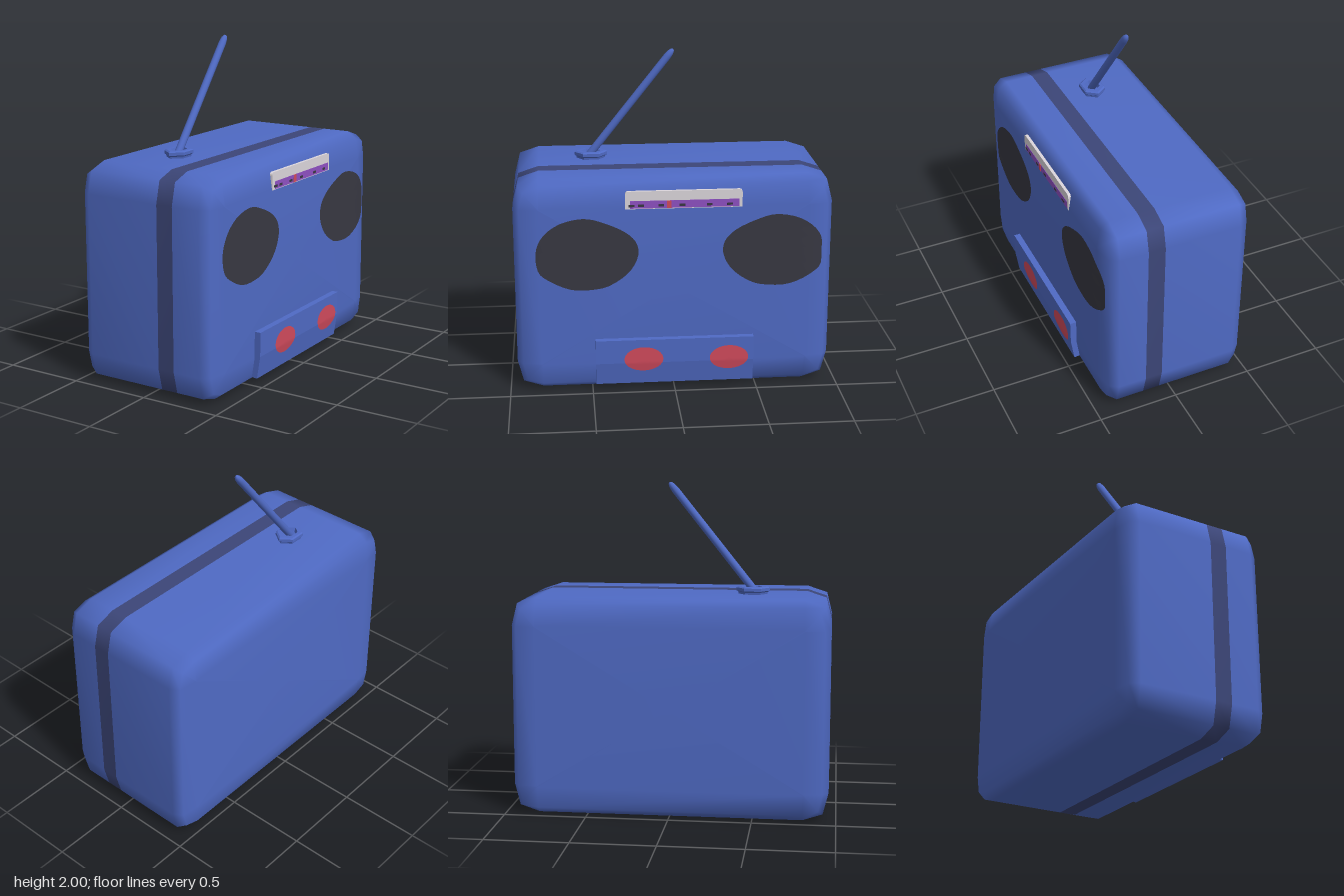
import * as THREE from 'three';

const mat = (name, color) => {
  const m = new THREE.MeshStandardMaterial({ color });
  m.name = name;
  return m;
};

const HZ = 0.955, HY = 0.6625, CZ = 0.155, CY = 0.175;

// One rounded-rectangle section of the case; k shrinks it towards its corner centres.
function section(k) {
  const hu = HZ - k * CZ, hy = HY - k * CY, cu = CZ * (1 - k), cy = CY * (1 - k);
  const corner = [[hu, hy - cy], [hu - cu * 0.22, hy - cy * 0.23], [hu - cu, hy]];
  const pts = [];
  for (const [su, sy] of [[1, 1], [-1, 1], [-1, -1], [1, -1]]) {
    const c = su * sy > 0 ? corner : [...corner].reverse();
    c.forEach(([u, y]) => pts.push([su * u, HY + sy * y]));
  }
  return pts;
}

// Case lofted along x; material 1 colours the stripe between rings 3 and 4.
function caseGeometry() {
  const rings = [[-0.475, 0.97], [-0.46, 0.23], [-0.405, 0], [0.077, 0],
    [0.183, 0], [0.36, 0], [0.415, 0.23], [0.435, 0.97]];
  const n = 12, pos = [], idx = [], g = new THREE.BufferGeometry();
  for (const [x, k] of rings) for (const [u, y] of section(k)) pos.push(x, y, -u);
  const back = pos.length / 3, front = back + 1, last = (rings.length - 1) * n;
  pos.push(-0.475, HY, 0, 0.435, HY, 0);
  for (let i = 0; i < rings.length - 1; i++) {
    const start = idx.length;
    for (let j = 0; j < n; j++) {
      const a = i * n + j, b = i * n + (j + 1) % n;
      idx.push(a, b, b + n, a, b + n, a + n);
    }
    g.addGroup(start, idx.length - start, i === 3 ? 1 : 0);
  }
  const capStart = idx.length;
  for (let j = 0; j < n; j++) {
    const k = (j + 1) % n;
    idx.push(back, k, j, front, last + j, last + k);
  }
  g.addGroup(capStart, idx.length - capStart, 0);
  g.setAttribute('position', new THREE.Float32BufferAttribute(pos, 3));
  g.setIndex(idx);
  g.computeVertexNormals();
  return g;
}

// Surface x of the speaker face and of the lower door.
function faceX(y, u) {
  const k = Math.min((HZ - Math.abs(u)) / CZ, (HY - Math.abs(y - HY)) / CY);
  return 0.415 + 0.02 * Math.min(1, (k - 0.23) / 0.74);
}
const doorX = y => 0.473 - 0.022 * Math.max(0, (0.18 - y) / 0.14);

// Thin patch following a surface; outline(t) runs anticlockwise seen from +x.
function patch(centre, outline, surface, lift) {
  const n = 48, g = new THREE.RingGeometry(0, 1, n, 6), p = g.attributes.position;
  for (let i = 0; i < p.count; i++) {
    const r = Math.floor(i / (n + 1)) / 6, o = outline((i % (n + 1)) / n);
    const u = centre[0] + (o.x - centre[0]) * r, y = centre[1] + (o.y - centre[1]) * r;
    p.setXYZ(i, surface(y, u) + lift, y, -u);
  }
  g.computeVertexNormals();
  return g;
}

export function createModel() {
  const blue = mat('caseBlue', 0x4f6ac4), navy = mat('stripeNavy', 0x3c4678);
  const charcoal = mat('speakerCharcoal', 0x383842), red = mat('knobRed', 0xd04a5c);
  const white = mat('dialWhite', 0xdcd6dc), purple = mat('dialPurple', 0x8e50c2);
  charcoal.side = red.side = THREE.DoubleSide;

  const model = new THREE.Group();
  model.name = 'portableRadio';
  const add = (name, geometry, material, parent = model) => {
    const m = new THREE.Mesh(geometry, material);
    m.name = name;
    parent.add(m);
    return m;
  };

  add('case', caseGeometry(), [blue, navy]);

  // Speakers: egg-shaped patches, mirrored about the middle of the face
  const egg = [[-0.825, 0.89], [-0.81, 0.765], [-0.746, 0.71], [-0.614, 0.652], [-0.466, 0.652],
    [-0.39, 0.672], [-0.27, 0.757], [-0.217, 0.862], [-0.228, 0.937], [-0.286, 1.0],
    [-0.413, 1.063], [-0.534, 1.095], [-0.688, 1.063], [-0.788, 0.984]];
  const curve = new THREE.CatmullRomCurve3(egg.map(([u, y]) => new THREE.Vector3(u, y, 0)), true);
  add('frontSpeaker', patch([-0.53, 0.87], t => curve.getPoint(t), faceX, 0.004), charcoal);
  const flip = u => 0.074 - u;
  add('rearSpeaker', patch([flip(-0.53), 0.87], t => {
    const p = curve.getPoint(1 - t);
    return { x: Math.min(flip(p.x), 0.89), y: p.y };
  }, faceX, 0.004), charcoal);

  // Lower door with a bent face
  const side = new THREE.Shape([[0.4, 0.045], [0.451, 0.04], [0.473, 0.18], [0.475, 0.33], [0.4, 0.33]]
    .map(([x, y]) => new THREE.Vector2(x, y)));
  add('door', new THREE.ExtrudeGeometry(side, { depth: 0.96, bevelEnabled: false })
    .translate(0, 0, -0.48), blue);

  // Knobs on the door
  [[-0.19, 0.205], [0.33, 0.2]].forEach(([u, y], i) => {
    const oval = t => ({
      x: u + 0.118 * Math.cos(t * Math.PI * 2), y: y + 0.078 * Math.sin(t * Math.PI * 2),
    });
    add('knob' + (i + 1), patch([u, y], oval, doorX, 0.004), red);
  });

  // Tuning dial: plate with rounded top corners, strip, marks and needle
  const dial = new THREE.Group();
  dial.name = 'tuningDial';
  model.add(dial);
  const s = new THREE.Shape();
  s.moveTo(-0.293, 1.147);
  s.lineTo(0.403, 1.147);
  s.lineTo(0.403, 1.235);
  s.quadraticCurveTo(0.403, 1.255, 0.383, 1.255);
  s.lineTo(-0.273, 1.255);
  s.quadraticCurveTo(-0.293, 1.255, -0.293, 1.235);
  add('dialPlate', new THREE.ExtrudeGeometry(s, { depth: 0.022, bevelEnabled: false })
    .rotateY(Math.PI / 2).translate(0.416, 0, 0), white, dial);
  const plate = (name, u, y, w, h, x, material) =>
    add(name, new THREE.BoxGeometry(0.004, h, w), material, dial).position.set(x, y, -u);
  plate('dialStrip', 0.06, 1.174, 0.65, 0.046, 0.438, purple);
  for (const u of [-0.255, -0.2, -0.08, 0.045, 0.207, 0.328])
    plate('dialMark', u, 1.168, 0.034, 0.014, 0.44, charcoal);
  plate('needle', -0.033, 1.174, 0.026, 0.046, 0.441, red);

  // Aerial: hexagonal socket and slanted round-tipped rod
  const v2 = ([r, y]) => new THREE.Vector2(r, y);
  const socket = [[0.085, -0.01], [0.09, 0.012], [0.102, 0.02], [0.102, 0.038], [0.09, 0.045],
    [0.06, 0.045], [0.05, 0.02], [0, 0.02]].map(v2);
  const hex = new THREE.LatheGeometry(socket, 6).toNonIndexed();
  hex.computeVertexNormals();
  const base = add('aerialSocket', hex, blue);
  base.position.set(-0.1, 1.325, 0.475);
  base.scale.x = 0.78;

  const from = new THREE.Vector3(-0.1, 1.33, 0.495), to = new THREE.Vector3(-0.1, 1.997, -0.038);
  const dir = to.clone().sub(from), len = dir.length();
  const rod = [[0, 0], [0.024, 0], [0.023, len - 0.06], [0.019, len - 0.025], [0.011, len - 0.006], [0, len]];
  const aerial = add('aerialRod', new THREE.LatheGeometry(rod.map(v2), 12), blue);
  aerial.position.copy(from);
  aerial.quaternion.setFromUnitVectors(new THREE.Vector3(0, 1, 0), dir.normalize());

  return model;
}
